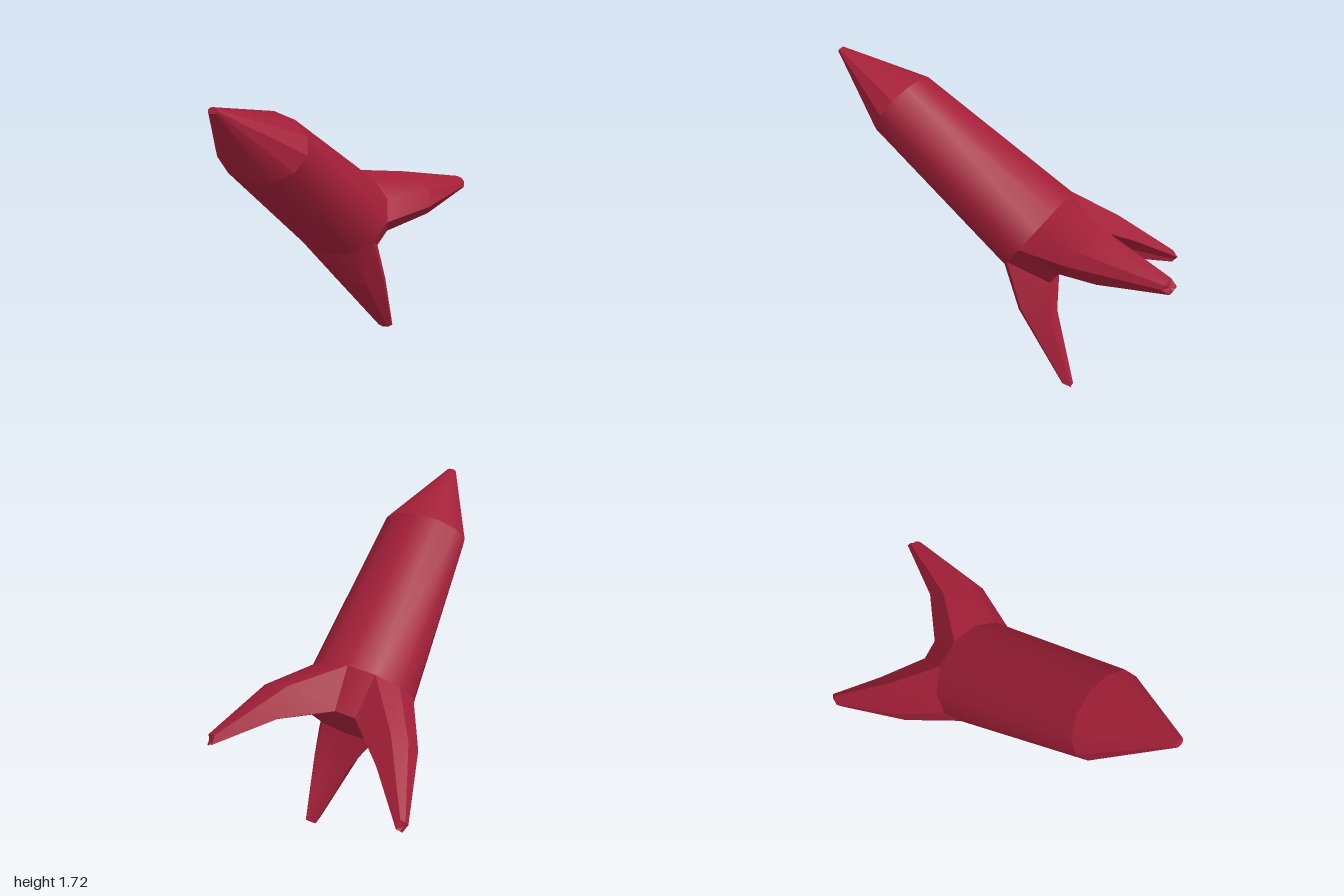
import * as THREE from 'three';
import { toCreasedNormals } from 'three/addons/utils/BufferGeometryUtils.js';

const SIDES = 12;
const V = (x, y, z) => new THREE.Vector3(x, y, z);
// Tilted frame of the hull: side goes across, lift is perpendicular to the long axis
const SIDE = V(1, 0, 0), LIFT = V(0, 0.783, -0.622);

// Oval 12-sided cross-section of the hull
function ring(center, rx, ry) {
  return Array.from({ length: SIDES }, (_, k) => {
    const a = (k / SIDES) * Math.PI * 2;
    return center.clone().addScaledVector(SIDE, rx * Math.cos(a)).addScaledVector(LIFT, ry * Math.sin(a));
  });
}

const centroid = (pts) => pts.reduce((s, p) => s.add(p), V(0, 0, 0)).divideScalar(pts.length);

// Skin closed sections, optionally closing the first and last
function loft(sections, capStart, capEnd, crease) {
  const pos = [];
  const tri = (...pts) => pts.forEach((p) => pos.push(p.x, p.y, p.z));
  for (let i = 0; i < sections.length - 1; i++) {
    const a = sections[i], b = sections[i + 1];
    for (let k = 0; k < a.length; k++) {
      const n = (k + 1) % a.length;
      tri(a[k], a[n], b[n]);
      tri(a[k], b[n], b[k]);
    }
  }
  const cap = (s, flip) => {
    const c = centroid(s);
    s.forEach((p, k) => {
      const n = s[(k + 1) % s.length];
      if (flip) tri(c, n, p); else tri(c, p, n);
    });
  };
  if (capStart) cap(sections[0], true);
  if (capEnd) cap(sections[sections.length - 1], false);
  const geo = new THREE.BufferGeometry();
  geo.setAttribute('position', new THREE.Float32BufferAttribute(pos, 3));
  return toCreasedNormals(geo, crease);
}

export function createModel() {
  const group = new THREE.Group();
  const red = new THREE.MeshStandardMaterial({ color: 0xa31f38 });
  const add = (name, geo) => {
    const mesh = new THREE.Mesh(geo, red);
    mesh.name = name;
    group.add(mesh);
  };

  const base = ring(V(0.06, 0.68, -0.34), 0.22, 0.19);
  const waist = ring(V(0.065, 0.825, -0.15), 0.305, 0.254);
  const shoulder = ring(V(0.08, 1.445, 0.63), 0.25, 0.182);
  const tip = ring(V(0.08, 1.712, 0.988), 0.026, 0.016);

  // Hull
  add('tail', loft([base, waist], true, false, 0.45));
  add('body', loft([waist, shoulder], false, false, 0.8));
  add('nose', loft([shoulder, tip], false, true, 0.5));

  // Each fin grows from three neighbouring tail panels and narrows to its end
  const fins = [
    ['upperLeftFin', 0, V(0.38, 0.855, -0.57), V(0.48, 0.815, -0.955)],
    ['rightFin', 4, V(-0.33, 0.67, -0.49), V(-0.5, 0.515, -0.785)],
    ['lowerFin', 8, V(0.205, 0.4, -0.2), V(0.27, 0.02, -0.4)],
  ];
  for (const [name, first, mid, end] of fins) {
    const ids = [0, 1, 2, 3].map((i) => (first + i) % SIDES);
    const root = [...ids.map((i) => base[i]), ...ids.slice().reverse().map((i) => waist[i])];
    const c = centroid(root);
    const section = (at, s) => root.map((p) => p.clone().sub(c).multiplyScalar(s).add(at));
    add(name, loft([root, section(mid, 0.7), section(end, 0.2)], false, true, 0.45));
  }
  return group;
}
